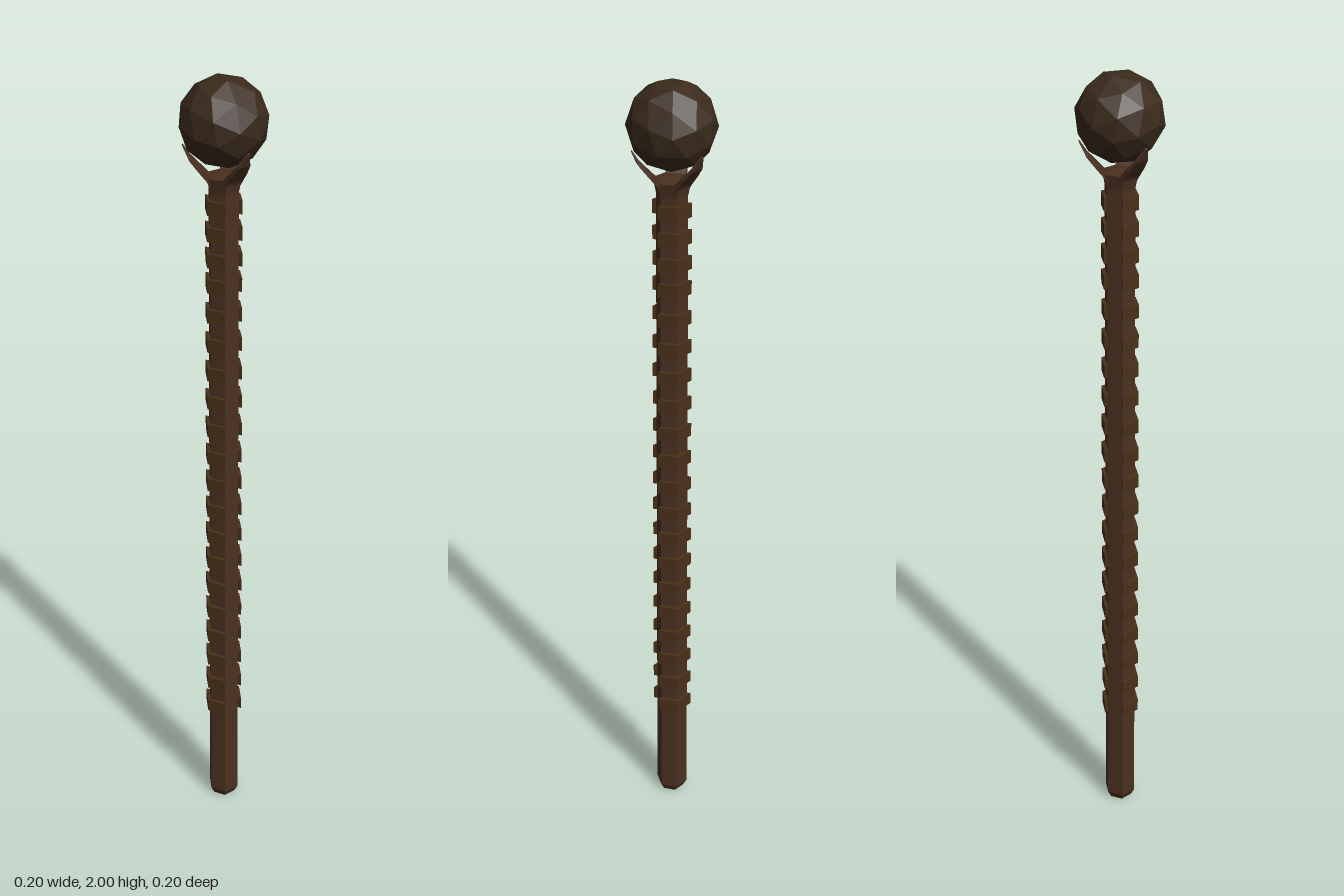
import * as THREE from 'three';

const mat = (color) => new THREE.MeshStandardMaterial({ color, flatShading: true, roughness: 0.9 });
const wood = mat(0x4a3020);
const bark = mat(0x4a3018);
const stone = mat(0x3a2a1c);

// radius of the tapering hexagonal shaft at height y
const shaftRadius = (y) => 0.0415 - 0.0025 * y;

// V-shaped plate wrapping the two side faces of the hexagon, at unit radius
function plateGeometry(height) {
  const c = Math.sqrt(3) / 2;
  const outer = 1.24, inner = 0.9;
  const shape = new THREE.Shape([
    [outer, 0], [outer / 2, outer * c], [inner / 2, inner * c],
    [inner, 0], [inner / 2, -inner * c], [outer / 2, -outer * c],
  ].map(([x, z]) => new THREE.Vector2(x, z)));
  const g = new THREE.ExtrudeGeometry(shape, { depth: height, bevelEnabled: false });
  return g.translate(0, 0, -height / 2).rotateX(-Math.PI / 2);
}

// thin tapering claw that curves outward along +x: [radius, height, half width, thickness]
function prongGeometry() {
  const sections = [
    [0.028, 1.745, 0.020, 0.014],
    [0.040, 1.768, 0.024, 0.012],
    [0.058, 1.790, 0.022, 0.010],
    [0.078, 1.815, 0.016, 0.008],
    [0.093, 1.848, 0.003, 0.003],
  ];
  const pos = [], idx = [];
  sections.forEach(([r, y, w, t]) => {
    pos.push(r, y, w, r, y, -w, r - t * 0.7, y + t * 0.7, -w, r - t * 0.7, y + t * 0.7, w);
  });
  for (let i = 0; i < sections.length - 1; i++) {
    for (let k = 0; k < 4; k++) {
      const a = i * 4 + k, b = i * 4 + (k + 1) % 4;
      idx.push(a, b, b + 4, a, b + 4, a + 4);
    }
  }
  const e = (sections.length - 1) * 4;
  idx.push(0, 2, 1, 0, 3, 2, e, e + 1, e + 2, e, e + 2, e + 3);
  const g = new THREE.BufferGeometry();
  g.setAttribute('position', new THREE.Float32BufferAttribute(pos, 3));
  g.setIndex(idx);
  g.computeVertexNormals();
  return g;
}

export function createModel() {
  const model = new THREE.Group();
  model.name = 'staff';
  const add = (name, geometry, material, parent = model) => {
    const mesh = new THREE.Mesh(geometry, material);
    mesh.name = name;
    parent.add(mesh);
    return mesh;
  };

  // hexagonal shaft with a chamfered foot and a small flare under the claws
  const profile = [
    [0, 0], [0.031, 0], [shaftRadius(0.02), 0.02],
    [shaftRadius(1.74), 1.74], [0.045, 1.775], [0, 1.782],
  ].map(([r, y]) => new THREE.Vector2(r, y));
  const shaft = add('shaft', new THREE.LatheGeometry(profile, 6), wood);
  shaft.rotation.y = Math.PI / 2;

  // grip plates in mirrored pairs, closer together near the top
  const plate = plateGeometry(0.034);
  const grips = new THREE.Group();
  grips.name = 'gripPlates';
  model.add(grips);
  for (let i = 0; i < 20; i++) {
    const y = i < 17 ? 0.31 + i * 0.0754 : 1.516 + (i - 16) * 0.0633;
    const r = shaftRadius(y);
    for (const side of [0, Math.PI]) {
      const mesh = add(side ? 'rightPlate' : 'leftPlate', plate, bark, grips);
      mesh.position.y = y;
      mesh.rotation.y = side;
      mesh.scale.set(r, 1, r);
    }
  }

  // three claws: one at the back, two toward the front corners
  const prong = prongGeometry();
  for (let i = 0; i < 3; i++) {
    add('claw', prong, wood).rotation.y = Math.PI / 2 + (i * 2 + 3) * Math.PI / 3;
  }

  // faceted ball
  const ball = add('ball', new THREE.IcosahedronGeometry(0.103, 1), stone);
  ball.position.y = 1.899;
  ball.rotation.set(0.25, 0.3, 0.1);
  return model;
}
